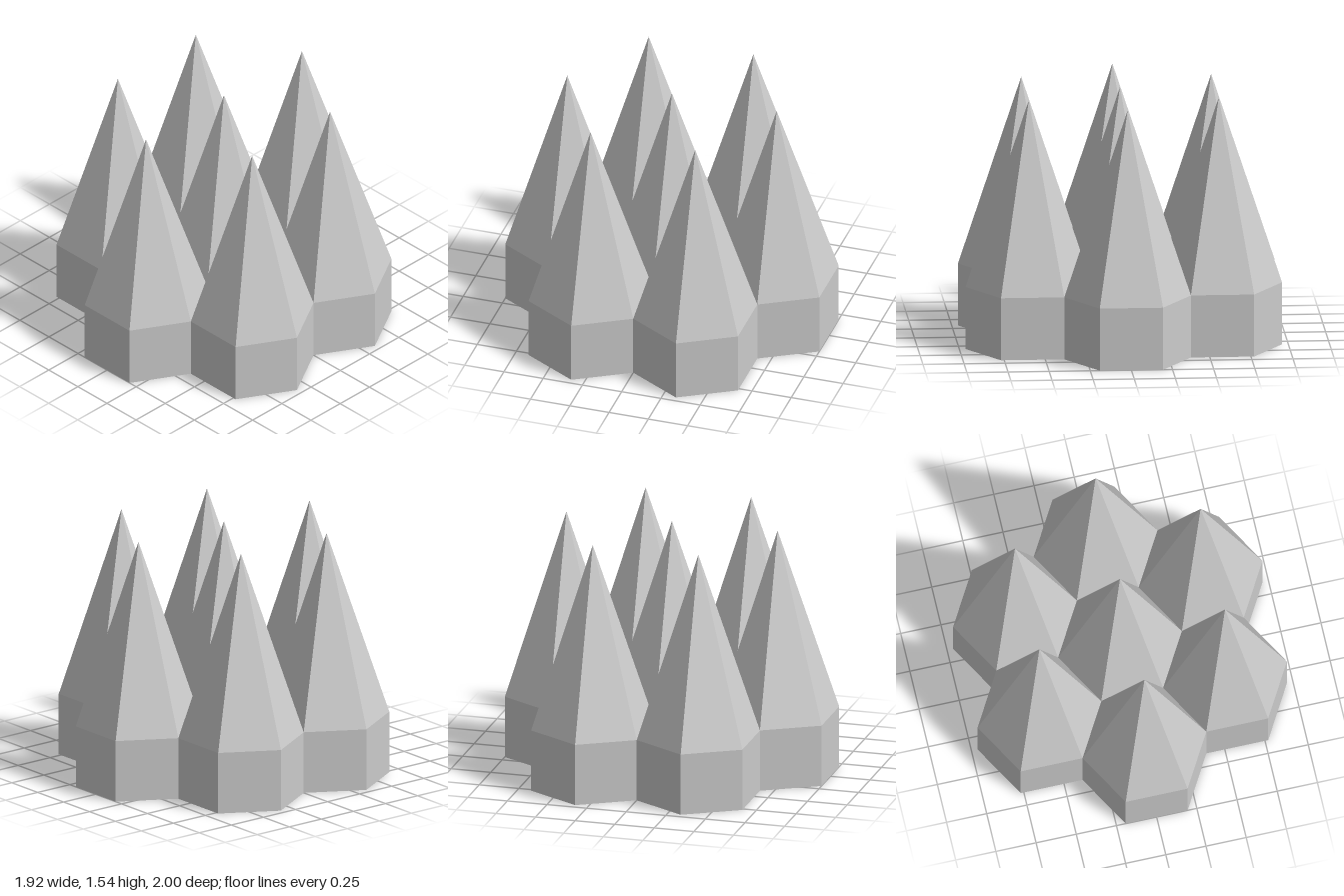
import * as THREE from 'three';

// Cluster of seven hexagonal prisms with pointed tops, packed as a honeycomb.
export function createModel() {
  const model = new THREE.Group();
  model.name = 'spireCluster';

  const apothem = 1 / 3;                  // centre to flat side
  const radius = apothem * 2 / Math.sqrt(3); // centre to corner

  const material = new THREE.MeshStandardMaterial({ color: 0xcccccc, flatShading: true });

  // One spire: flat bottom, upright wall, long pointed roof; corners on the x axis
  const profile = [
    [0, 0], [radius, 0], [radius, radius], [0, radius * 4],
  ].map(([x, y]) => new THREE.Vector2(x, y));
  const spireGeometry = new THREE.LatheGeometry(profile, 6, Math.PI / 2);

  const addSpire = (name, x, z) => {
    const spire = new THREE.Mesh(spireGeometry, material);
    spire.name = name;
    spire.position.set(x, 0, z);
    model.add(spire);
  };

  // Middle spire and the ring of six around it
  addSpire('centreSpire', 0, 0);
  for (let i = 0; i < 6; i++) {
    const angle = i * Math.PI / 3;
    addSpire(`outerSpire${i + 1}`, 2 * apothem * Math.sin(angle), 2 * apothem * Math.cos(angle));
  }

  return model;
}
